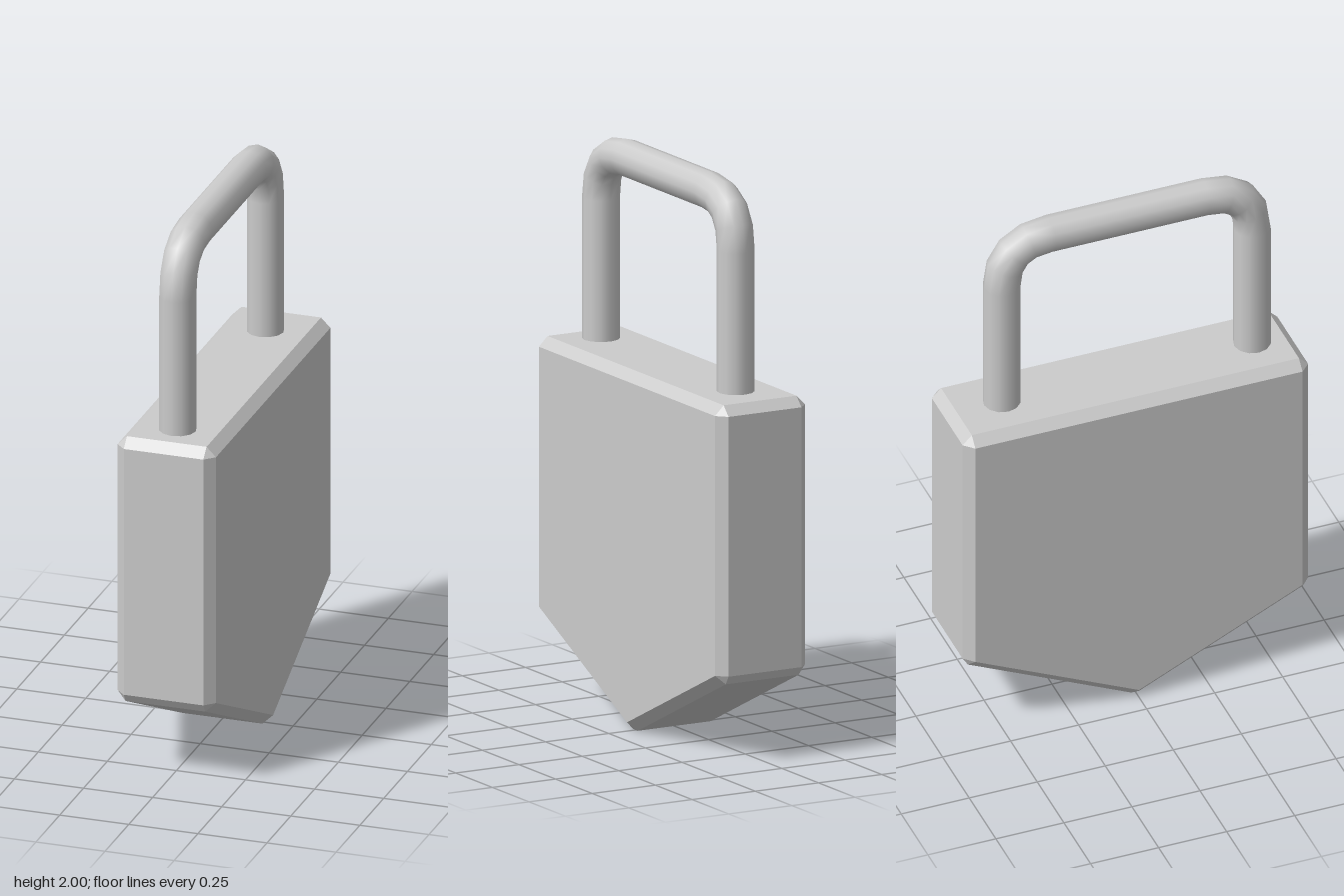
import * as THREE from 'three';
import { ConvexGeometry } from 'three/addons/geometries/ConvexGeometry.js';

const grey = () => new THREE.MeshStandardMaterial({ color: 0xcccccc });

// Pentagonal slab: each edge of the side face is pushed outward to form the bevelled rim
function bevelledBody() {
  const faceX = 0.178, rimX = 0.144, bevel = 0.034;
  const face = [[0, 0.033], [0.601, 0.318], [0.601, 1.231], [-0.601, 1.231], [-0.601, 0.318]];
  const points = [];
  face.forEach(([z, y], i) => {
    const [z2, y2] = face[(i + 1) % face.length];
    const length = Math.hypot(z2 - z, y2 - y);
    const nz = (y2 - y) / length * bevel, ny = -(z2 - z) / length * bevel;
    for (const side of [-1, 1]) {
      points.push(
        new THREE.Vector3(side * faceX, y, z),
        new THREE.Vector3(side * rimX, y + ny, z + nz),
        new THREE.Vector3(side * rimX, y2 + ny, z2 + nz));
    }
  });
  return new ConvexGeometry(points);
}

// Shackle centre line: two straight legs joined by rounded corners, sampled at set stations
class ShacklePath extends THREE.Curve {
  constructor() {
    super();
    const front = 0.485, back = -0.435, top = 1.935, bend = 0.175, steps = 4;
    const v = (y, z) => new THREE.Vector3(0, y, z);
    const corners = [
      new THREE.QuadraticBezierCurve3(v(top - bend, front), v(top, front), v(top, front - bend)),
      new THREE.QuadraticBezierCurve3(v(top, back + bend), v(top, back), v(top - bend, back)),
    ];
    this.stations = [[v(1.2, front), v(1, 0)]];
    for (const corner of corners) {
      for (let i = 0; i <= steps; i++) {
        this.stations.push([corner.getPoint(i / steps), corner.getTangent(i / steps)]);
      }
    }
    this.stations.push([v(1.2, back), v(-1, 0)]);
  }
  station(u) { return this.stations[Math.round(u * (this.stations.length - 1))]; }
  getPointAt(u, target = new THREE.Vector3()) { return target.copy(this.station(u)[0]); }
  getTangentAt(u, target = new THREE.Vector3()) { return target.copy(this.station(u)[1]); }
  getPoint(t, target) { return this.getPointAt(t, target); }
}

export function createModel() {
  const group = new THREE.Group();
  group.name = 'padlock';

  const body = new THREE.Mesh(bevelledBody(), grey());
  body.name = 'body';

  const path = new ShacklePath();
  const shackle = new THREE.Mesh(
    new THREE.TubeGeometry(path, path.stations.length - 1, 0.065, 12, false), grey());
  shackle.name = 'shackle';

  group.add(body, shackle);
  return group;
}
